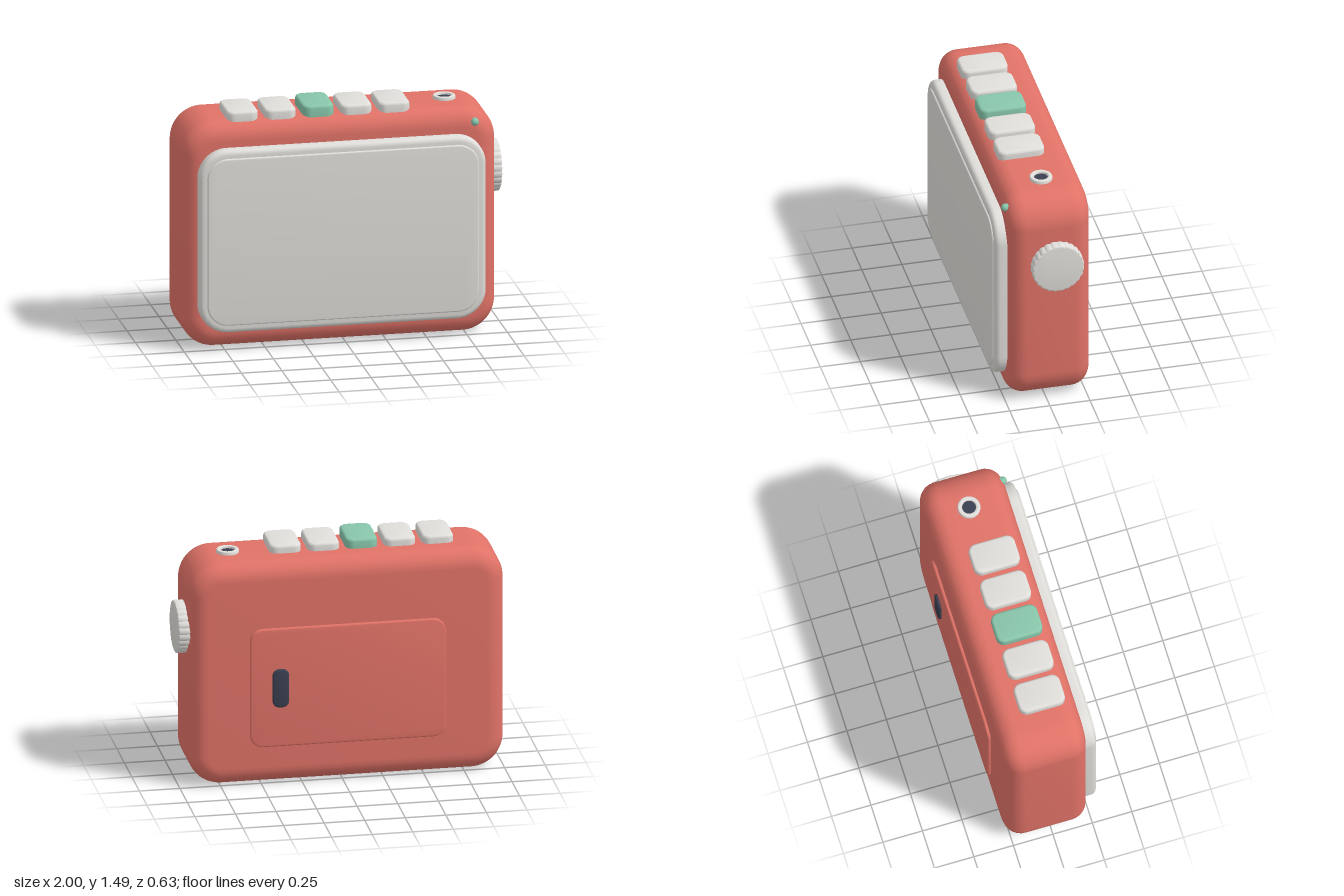
import * as THREE from 'three';
import { toCreasedNormals } from 'three/addons/utils/BufferGeometryUtils.js';

const mat = (name, color) => {
  const m = new THREE.MeshStandardMaterial({ color });
  m.name = name;
  return m;
};

// Extrude a shape to total depth d, centred on z, with rounded rims of size b
function extrude(shape, d, b, segments = 5) {
  const geo = new THREE.ExtrudeGeometry(shape, {
    depth: d - 2 * b, bevelEnabled: true, bevelSize: b, bevelThickness: b,
    bevelSegments: segments, curveSegments: 8,
  });
  geo.translate(0, 0, b - d / 2);
  return toCreasedNormals(geo, 0.6);
}

// Rounded slab: outer size w x h x d, corner radius r, rim rounding b
function slab(w, h, d, r, b, segments) {
  const x = w / 2 - b, y = h / 2 - b, c = r - b;
  const s = new THREE.Shape();
  s.absarc(x - c, y - c, c, 0, Math.PI / 2);
  s.absarc(-x + c, y - c, c, Math.PI / 2, Math.PI);
  s.absarc(-x + c, -y + c, c, Math.PI, Math.PI * 1.5);
  s.absarc(x - c, -y + c, c, Math.PI * 1.5, Math.PI * 2);
  s.closePath();
  return extrude(s, d, b, segments);
}

export function createModel() {
  const red = mat('coral red', 0xe07267);
  const cream = mat('warm white', 0xe0deda);
  const green = mat('mint green', 0x88c6ab);
  const dark = mat('dark slate', 0x3a3f50);

  const group = new THREE.Group();
  const add = (name, geo, material, x, y, z) => {
    const mesh = new THREE.Mesh(geo, material);
    mesh.name = name;
    mesh.position.set(x, y, z);
    group.add(mesh);
    return mesh;
  };

  // Case
  add('body', slab(1.94, 1.425, 0.516, 0.2, 0.11, 8), red, -0.03, 0.7125, -0.022);

  // Front bezel and screen
  add('bezel', slab(1.775, 1.155, 0.105, 0.18, 0.03), cream, -0.028, 0.695, 0.253);
  add('screen', slab(1.68, 1.055, 0.04, 0.13, 0.008, 3), cream, -0.028, 0.695, 0.295);

  // Row of top buttons, the middle one taller and green
  for (let i = 0; i < 5; i++) {
    const main = i === 2;
    const top = main ? 1.486 : 1.475, height = top - 1.37;
    const geo = slab(0.195, 0.29, height, 0.05, 0.018, 4).rotateX(-Math.PI / 2);
    add(main ? 'mainButton' : 'button', geo, main ? green : cream,
      -0.618 + i * 0.2345, top - height / 2, 0.03);
  }

  // Socket: rounded collar with a dark hole
  const collar = [[0.042, 1.41], [0.042, 1.437], [0.045, 1.444], [0.052, 1.447],
    [0.06, 1.447], [0.067, 1.444], [0.07, 1.437], [0.07, 1.41]]
    .map(([r, y]) => new THREE.Vector2(r, y)).reverse();
  const collarGeo = toCreasedNormals(new THREE.LatheGeometry(collar, 32), 0.7);
  const collarMat = cream.clone();
  collarMat.side = THREE.DoubleSide;
  add('socketCollar', collarGeo, collarMat, 0.665, 0, -0.025);
  add('socketHole', new THREE.CylinderGeometry(0.044, 0.044, 0.03, 32), dark, 0.665, 1.417, -0.025);

  // Indicator light
  const light = new THREE.CapsuleGeometry(0.024, 0.02, 6, 20).rotateX(Math.PI / 2);
  add('indicatorLight', light, green, 0.803, 1.34, 0.222);

  // Side dial with a scalloped grip
  const bumps = 24, steps = 8, points = [];
  for (let i = 0; i < bumps * steps; i++) {
    const a = (i / (bumps * steps)) * Math.PI * 2;
    const r = 0.143 + 0.011 * Math.sqrt(Math.abs(Math.sin((a * bumps) / 2)));
    points.push(new THREE.Vector2(Math.cos(a) * r, Math.sin(a) * r));
  }
  const dial = extrude(new THREE.Shape(points), 0.08, 0.008, 3).rotateY(Math.PI / 2);
  add('dial', dial, cream, 0.96, 0.975, -0.055);

  // Back hatch and its latch
  add('backHatch', slab(1.205, 0.76, 0.04, 0.08, 0.008, 3), red, -0.028, 0.628, -0.279);
  add('latch', slab(0.1, 0.244, 0.04, 0.04, 0.008, 3), dark, 0.388, 0.626, -0.296);

  return group;
}
